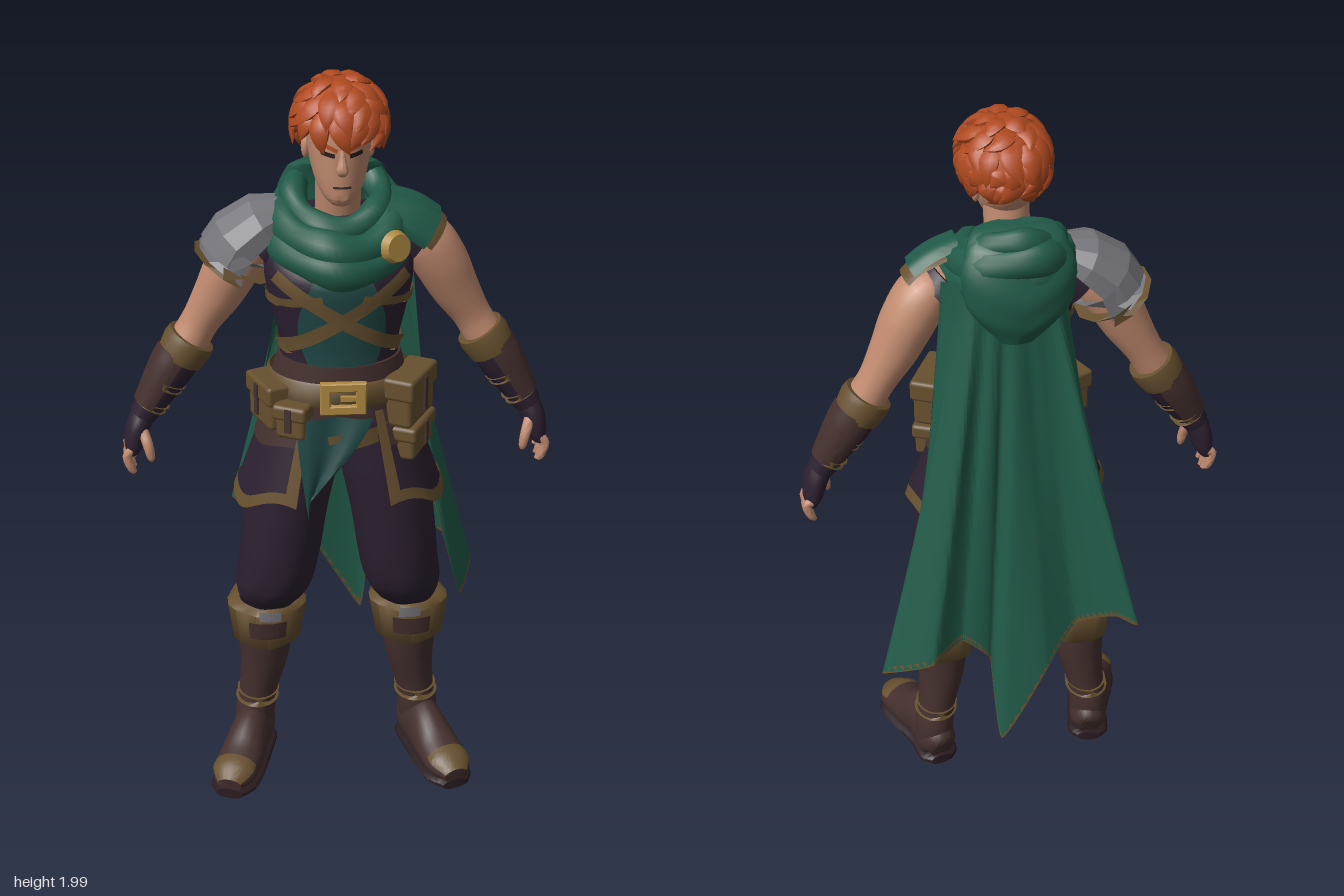
import * as THREE from 'three';
import { toCreasedNormals } from 'three/addons/utils/BufferGeometryUtils.js';
import { RoundedBoxGeometry } from 'three/addons/geometries/RoundedBoxGeometry.js';
const V = (x, y, z) => new THREE.Vector3(x, y, z), { lerp, degToRad: rad } = THREE.MathUtils;
const TAU = Math.PI * 2, { sin, cos, max, min, sqrt, abs } = Math, up = V(0, 1, 0);
const M = {}, colours = {
  hair: 0xb04a20, skin: 0xc08a6e, greenCloth: 0x215a48, tealCloth: 0x1f4644, darkCloth: 0x2c2030,
  brownLeather: 0x44302e, tanLeather: 0x67502f, steel: 0x75747a, gold: 0xb08a42, darkLine: 0x2a1c20,
};
for (const [name, color] of Object.entries(colours)) M[name] = Object.assign(new THREE.MeshStandardMaterial({ color, side: THREE.DoubleSide }), { name });
function add(parent, name, mat, geo) {
  const mesh = Object.assign(new THREE.Mesh(geo, mat), { name });
  parent.add(mesh);
  return mesh;
}
// Grid surface from fn(u, v) -> Vector3
function sheet(parent, name, mat, nu, nv, fn, crease = 1) {
  const pts = [], idx = [];
  for (let j = 0; j <= nv; j++) for (let i = 0; i <= nu; i++) pts.push(fn(i / nu, j / nv));
  for (let j = 0; j < nv; j++) for (let i = 0; i < nu; i++) {
    const a = j * (nu + 1) + i, c = a + nu + 1;
    idx.push(a, c, a + 1, a + 1, c, c + 1);
  }
  const geo = new THREE.BufferGeometry().setFromPoints(pts).setIndex(idx);
  return add(parent, name, mat, toCreasedNormals(geo, crease));
}
// Smooth samples along rows of [x, y, z, radiusA, radiusB]
function sample(rows, n, s = 1) {
  const curve = pts => new THREE.CatmullRomCurve3(pts, false, 'catmullrom', 0.5);
  const P = curve(rows.map(r => V(r[0] * s, r[1], r[2]))), R = curve(rows.map(r => V(r[3], r[4], 0)));
  return Array.from({ length: n + 1 }, (_, i) => ({ p: P.getPoint(i / n), t: P.getTangent(i / n), r: R.getPoint(i / n) }));
}
// Elliptical rings along a path; flat keeps them level, arc leaves an open shell
function loft(parent, name, mat, rows, { n = 24, seg = 5, flat, ref = V(0, 0, 1), arc, s = 1, bump, floor = 0, crease } = {}) {
  const [a0, a1] = !arc ? [0, TAU] : (s < 0 ? [180 - arc[1], 180 - arc[0]] : arc).map(rad);
  const k = sample(rows, (rows.length - 1) * seg, s);
  if (!arc) k.unshift({ ...k[0], r: V(0, 0, 0) }), k.push({ ...k[k.length - 1], r: V(0, 0, 0) });
  return sheet(parent, name, mat, n, k.length - 1, (u, v) => {
    const { p, t, r } = k[Math.round(v * (k.length - 1))], T = flat ? V(0, Math.sign(t.y) || 1, 0) : t;
    const W = ref.clone().addScaledVector(T, -ref.dot(T)).normalize(), U = T.clone().cross(W);
    const a = lerp(a0, a1, u), f = bump ? bump(a, v) : 1;
    const q = p.clone().addScaledVector(U, cos(a) * r.x * f).addScaledVector(W, sin(a) * r.y * f);
    return q.setY(max(q.y, floor));
  }, crease);
}
// Front-facing point on a level loft, and flat bands laid on it
function frontOf(rows) {
  const k = sample(rows, 80);
  return (x, y, off) => {
    const c = k.reduce((m, e) => abs(e.p.y - y) < abs(m.p.y - y) ? e : m);
    return V(x, y, c.p.z + off + c.r.y * sqrt(max(0.02, 1 - ((x - c.p.x) / c.r.x) ** 2)));
  };
}
function ribbon(parent, name, mat, on, [x0, y0], [x1, y1], w, off = 0.008) {
  const l = Math.hypot(x1 - x0, y1 - y0), nx = -(y1 - y0) / l * w, ny = (x1 - x0) / l * w;
  sheet(parent, name, mat, 16, 4, (u, v) => on(lerp(x0, x1, u) + nx * (v - 0.5), lerp(y0, y1, u) + ny * (v - 0.5), off));
}
const torsoRows = [[0, 1.06, 0.1, 0.165, 0.12], [0, 1.15, 0.1, 0.172, 0.13], [0, 1.22, 0.105, 0.165, 0.125], [0, 1.3, 0.11, 0.15, 0.117],
  [0, 1.4, 0.11, 0.17, 0.125], [0, 1.5, 0.105, 0.188, 0.135], [0, 1.57, 0.08, 0.175, 0.11], [0, 1.64, 0.06, 0.1, 0.08]];
const headRows = [[0, 1.692, 0.163, 0.026, 0.036], [0, 1.708, 0.153, 0.042, 0.058], [0, 1.74, 0.13, 0.06, 0.084], [0, 1.79, 0.109, 0.073, 0.107],
  [0, 1.85, 0.1, 0.08, 0.116], [0, 1.91, 0.097, 0.078, 0.11], [0, 1.96, 0.095, 0.05, 0.08]];

function buildHead(g) {
  const on = frontOf(headRows);
  loft(g, 'neck', M.skin, [[0, 1.53, 0.05, 0.07, 0.065], [0, 1.62, 0.06, 0.058, 0.058], [0, 1.76, 0.085, 0.058, 0.062]]);
  loft(g, 'head', M.skin, headRows, { flat: true, n: 32 });
  loft(g, 'nose', M.skin, [[0, 1.845, 0.206, 0.007, 0.008], [0, 1.81, 0.214, 0.01, 0.012], [0, 1.787, 0.218, 0.015, 0.014], [0, 1.777, 0.212, 0.01, 0.008]], { n: 12 });
  ribbon(g, 'mouth', M.brownLeather, on, [-0.022, 1.744], [0.022, 1.744], 0.006, 0.004);
  for (const s of [-1, 1]) {
    ribbon(g, 'eye', M.darkLine, on, [s * 0.018, 1.823], [s * 0.05, 1.828], 0.011, 0.004);
    ribbon(g, 'eyebrow', M.hair, on, [s * 0.012, 1.836], [s * 0.057, 1.854], 0.01, 0.006);
    add(g, 'ear', M.skin, new THREE.SphereGeometry(0.028, 12, 10).scale(0.4, 1.1, 0.75)).position.set(s * 0.08, 1.805, 0.07);
  }
  // Scalp shell with a hairline, then layers of locks with lifted tips
  const dir = (a, p, k) => V(0.003 + 0.107 * k * sin(p) * cos(a), 1.873 + 0.107 * k * cos(p), 0.095 + 0.13 * k * sin(p) * sin(a));
  const limit = a => rad(98 - 25 * sin(a));
  sheet(g, 'hairCap', M.hair, 36, 14, (u, v) => dir(u * TAU, limit(u * TAU) * v, 1.02), 2);
  let seed = 11;
  const rnd = () => (seed = (seed * 16807) % 2147483647) / 2147483647;
  [[8, 5], [28, 9], [47, 12], [64, 14], [82, 15], [100, 14]].forEach(([deg, count], ring) => {
    for (let i = 0; i < count; i++) {
      const a = (i + ring * 0.5 + rnd() * 0.5) / count * TAU, p = rad(deg - 6 + rnd() * 12), sway = 0.2 + (rnd() - 0.5) * 1.1;
      const len = (0.55 + rnd() * 0.35) * (deg > 75 ? 0.65 : 1), lift = 0.04 + rnd() * 0.13 * min(1, deg / 45);
      if (p > limit(a) - 0.06) continue;
      const rows = [[0, 0.98, 0.018, 0.008], [0.35, 1.03, 0.027, 0.012], [0.7, 1.04 + lift * 0.4, 0.018, 0.009], [1, 1.04 + lift, 0.001, 0.001]]
        .map(([t, k, ra, rb]) => [...dir(a + sway * t * t, p + len * t, k), ra, rb]);
      loft(g, 'hairLock', M.hair, rows, { n: 7, seg: 3, ref: dir(a, p, 1).sub(V(0, 1.873, 0.095)).normalize() });
    }
  });
}

function buildTorso(g) {
  const on = frontOf(torsoRows);
  loft(g, 'vest', M.darkCloth, torsoRows, { flat: true, n: 40 });
  sheet(g, 'chestPanel', M.tealCloth, 14, 20, (u, v) => on((u - 0.5) * 2 * (0.08 + 0.03 * cos((lerp(1.2, 1.56, v) - 1.38) * 14)), lerp(1.2, 1.56, v), 0.005));
  for (const s of [-1, 1]) {
    ribbon(g, 'chestStrap', M.tanLeather, on, [s * -0.165, 1.51], [s * 0.155, 1.31], 0.036, 0.01 + s * 0.002);
    ribbon(g, 'chestStrapTop', M.tanLeather, on, [s * 0.05, 1.465], [s * 0.165, 1.44], 0.022);
  }
  for (const [y, r] of [[1.3, 0.157], [1.43, 0.185]]) loft(g, 'backStrap', M.tanLeather, [[0, y, 0.11, r, 0.138], [0, y + 0.025, 0.11, r + 0.002, 0.14]], { flat: true, arc: [150, 390] });
  // Waist: sash, belt, slanting second belt, buckle
  loft(g, 'sash', M.brownLeather, [[0, 1.13, 0.1, 0.184, 0.143], [0, 1.2, 0.103, 0.178, 0.138], [0, 1.28, 0.11, 0.157, 0.126]], { flat: true, n: 36 });
  loft(g, 'belt', M.tanLeather, [[0, 1.175, 0.103, 0.187, 0.15], [0, 1.18, 0.103, 0.191, 0.154], [0, 1.235, 0.105, 0.184, 0.148], [0, 1.24, 0.105, 0.178, 0.143]], { flat: true, n: 36, seg: 1, arc: [-30, 210] });
  sheet(g, 'lowBelt', M.tanLeather, 48, 2, (u, v) => {
    const a = rad(lerp(-30, 210, u));
    return V(0.195 * cos(a), 1.135 - 0.03 * sin(a) + 0.025 * cos(a) - v * 0.045, 0.103 + 0.158 * sin(a));
  });
  const box = (x, y) => [[-x, -y], [x, -y], [x, y], [-x, y]].map(p => new THREE.Vector2(...p));
  const frame = new THREE.Shape(box(0.055, 0.04));
  frame.holes.push(new THREE.Path(box(0.035, 0.022).reverse()));
  add(g, 'buckle', M.gold, new THREE.ExtrudeGeometry(frame, { depth: 0.014, bevelSize: 0.003, bevelThickness: 0.003, bevelSegments: 1 })).position.set(0, 1.208, 0.252);
  add(g, 'bucklePin', M.gold, new THREE.BoxGeometry(0.045, 0.012, 0.012)).position.set(0.015, 1.208, 0.262);
  // Pouches with flaps: [x, y, z, turn, thickness, height, width]
  for (const [x, y, z, turn, t, h, w] of [[0.178, 1.175, 0.17, -0.5, 0.07, 0.13, 0.16], [0.182, 1.06, 0.165, -0.45, 0.07, 0.09, 0.15],
    [-0.18, 1.16, 0.15, Math.PI + 0.4, 0.06, 0.12, 0.13], [-0.125, 1.14, 0.235, Math.PI + 1.1, 0.05, 0.09, 0.08]]) {
    const pouch = add(g, 'pouch', M.tanLeather, new RoundedBoxGeometry(t, h, w, 2, 0.012));
    add(pouch, 'pouchFlap', M.tanLeather, new RoundedBoxGeometry(t + 0.014, h * 0.45, w + 0.012, 2, 0.01)).position.y = h * 0.3;
    add(pouch, 'pouchStrap', M.brownLeather, new THREE.BoxGeometry(0.006, h * 0.7, 0.018)).position.set(t / 2 + 0.008, 0.01, 0);
    pouch.position.set(x, y, z);
    pouch.rotation.y = turn;
  }
  // Hip skirts with tan hems, and the pointed front cloth
  const a0 = rad(-84), a1 = rad(64);
  for (const s of [-1, 1]) {
    const skirt = (a, v, off) => V(s * (lerp(0.18, 0.272, v) + off) * cos(a), 1.16 - v * (0.27 + 0.08 * max(0, -sin(a)) + 0.025 * sin(a * 5)), 0.108 + (lerp(0.14, 0.18, v) + off) * sin(a));
    sheet(g, 'hipSkirt', M.darkCloth, 28, 8, (u, v) => skirt(lerp(a0, a1, u), v, 0));
    sheet(g, 'hipSkirtTop', M.brownLeather, 28, 4, (u, v) => skirt(lerp(a0, a1, u), v * 0.4, 0.004));
    sheet(g, 'skirtHem', M.tanLeather, 28, 2, (u, v) => skirt(lerp(a0, a1, u), lerp(0.89, 1.01, v), 0.005));
    sheet(g, 'skirtEdge', M.tanLeather, 3, 8, (u, v) => skirt(a1 - u * 0.13, v, 0.005));
  }
  sheet(g, 'frontCloth', M.tealCloth, 8, 12, (u, v) =>
    V(lerp(lerp(-0.12, 0.075, u), -0.09, v ** 1.3), lerp(1.15, 0.87 + 0.06 * u, v), 0.255 + 0.02 * sin(v * 2) + 0.008 * sin(u * 9)));
}

function buildArm(g, s) {
  loft(g, 'upperArm', M.skin, [[0.16, 1.58, 0.045, 0.045, 0.055], [0.218, 1.552, 0.04, 0.068, 0.076], [0.262, 1.487, 0.033, 0.071, 0.077], [0.302, 1.41, 0.025, 0.063, 0.065],
    [0.35, 1.33, 0.018, 0.05, 0.052], [0.385, 1.27, 0.02, 0.051, 0.053], [0.42, 1.21, 0.02, 0.045, 0.05]], { s });
  loft(g, 'armhole', M.darkCloth, [[0.15, 1.57, 0.05, 0.085, 0.085], [0.185, 1.54, 0.045, 0.08, 0.086]], { s });
  loft(g, 'bracer', M.darkCloth, [[0.385, 1.268, 0.02, 0.056, 0.06], [0.43, 1.195, 0.022, 0.055, 0.058], [0.472, 1.13, 0.025, 0.045, 0.047], [0.51, 1.07, 0.027, 0.036, 0.04]], { s });
  loft(g, 'bracerPlate', M.brownLeather, [[0.405, 1.245, 0.02, 0.062, 0.065], [0.435, 1.195, 0.022, 0.06, 0.063], [0.492, 1.1, 0.026, 0.044, 0.047]], { s, arc: [80, 300] });
  loft(g, 'bracerCuff', M.tanLeather, [[0.374, 1.285, 0.02, 0.064, 0.066], [0.385, 1.268, 0.02, 0.068, 0.07], [0.408, 1.23, 0.021, 0.062, 0.066]], { s, seg: 1 });
  for (const t of [0.45, 0.88]) loft(g, 'bracerBand', M.tanLeather, [t, t + 0.11].map(k =>
    [lerp(0.405, 0.49, k), lerp(1.24, 1.095, k), 0.024, lerp(0.066, 0.045, k), lerp(0.069, 0.048, k)]), { s, seg: 1 });
  loft(g, 'glove', M.darkCloth, [[0.505, 1.08, 0.028, 0.032, 0.036], [0.523, 1.04, 0.03, 0.032, 0.047], [0.535, 0.995, 0.03, 0.028, 0.048], [0.542, 0.968, 0.03, 0.018, 0.042]], { s, n: 16 });
  [0.01, 0, 0.006, 0.022].forEach((d, i) => {
    const z = 0.064 - i * 0.023;
    loft(g, 'finger', M.skin, [[0.54, 0.985, z, 0.012, 0.012], [0.555, 0.955 + d, z, 0.0125, 0.012], [0.546, 0.92 + d, z, 0.011, 0.011], [0.537, 0.907 + d, z, 0.006, 0.006]], { s, n: 10, seg: 3 });
  });
  loft(g, 'thumb', M.skin, [[0.513, 1.04, 0.055, 0.015, 0.015], [0.499, 1.005, 0.078, 0.014, 0.014], [0.492, 0.97, 0.082, 0.011, 0.011], [0.49, 0.958, 0.082, 0.005, 0.005]], { s, n: 10, seg: 3 });
}

function buildLeg(g, s) {
  loft(g, 'trouserLeg', M.darkCloth, [[0.085, 1.12, 0.1, 0.09, 0.12], [0.115, 0.98, 0.1, 0.115, 0.128], [0.142, 0.82, 0.1, 0.111, 0.13], [0.16, 0.68, 0.097, 0.107, 0.128], [0.176, 0.59, 0.085, 0.102, 0.118], [0.19, 0.52, 0.055, 0.08, 0.085]],
    { s, flat: true, n: 36, bump: (a, v) => 1 + 0.03 * max(0, v - 0.4) * sin(a * 7 + v * 12) + 0.035 * max(0, v - 0.6) * sin(v * 60) });
  loft(g, 'bootShaft', M.brownLeather, [[0.195, 0.5, 0.05, 0.075, 0.08], [0.2, 0.4, 0.045, 0.075, 0.08], [0.205, 0.31, 0.037, 0.066, 0.073], [0.222, 0.2, 0.027, 0.054, 0.063], [0.232, 0.13, 0.022, 0.056, 0.066], [0.235, 0.05, 0.02, 0.052, 0.058]], { s, flat: true });
  loft(g, 'bootCuff', M.tanLeather, [[0.198, 0.39, 0.047, 0.076, 0.082], [0.197, 0.4, 0.048, 0.092, 0.1], [0.195, 0.51, 0.05, 0.108, 0.112], [0.194, 0.525, 0.05, 0.09, 0.095]], { s, flat: true, seg: 1, n: 20, bump: a => 1 + 0.04 * sin(a * 5) });
  loft(g, 'cuffPatch', M.brownLeather, [[0.197, 0.435, 0.048, 0.103, 0.109], [0.196, 0.49, 0.05, 0.111, 0.115]], { s, flat: true, arc: [62, 118] });
  loft(g, 'kneePlate', M.steel, [[0.185, 0.5, 0.052, 0.112, 0.118], [0.185, 0.53, 0.055, 0.11, 0.116]], { s, flat: true, arc: [72, 103] });
  const foot = [[0.222, 0.05, -0.035, 0.03, 0.04], [0.228, 0.065, -0.005, 0.053, 0.075], [0.247, 0.078, 0.08, 0.054, 0.084], [0.278, 0.06, 0.17, 0.062, 0.056], [0.302, 0.05, 0.235, 0.06, 0.041], [0.315, 0.042, 0.276, 0.034, 0.023]];
  loft(g, 'foot', M.brownLeather, foot, { s, ref: up, floor: 0.02 });
  loft(g, 'sole', M.darkLine, foot.map(r => [r[0], 0.014, r[2], r[3] + 0.005, 0.015]), { s, ref: up });
  loft(g, 'toeCap', M.tanLeather, [[0.292, 0.054, 0.21, 0.063, 0.05], ...foot.slice(4).map(r => [r[0], r[1], r[2] + 0.003, r[3] + 0.003, r[4] + 0.004])], { s, ref: up, arc: [25, 155] });
  loft(g, 'ankleStrap', M.tanLeather, [[0.226, 0.175, 0.028, 0.061, 0.072], [0.223, 0.2, 0.028, 0.059, 0.07]], { s, flat: true, seg: 1 });
}

function buildShoulders(g) {
  // Faceted steel plates on the right shoulder
  const plate = { arc: [-110, 110], n: 7, seg: 1, crease: 0.2 };
  loft(g, 'pauldron', M.steel, [[-0.13, 1.63, 0.04, 0.045, 0.065], [-0.18, 1.605, 0.04, 0.075, 0.1], [-0.24, 1.555, 0.038, 0.09, 0.112], [-0.262, 1.515, 0.036, 0.094, 0.112]], plate);
  loft(g, 'pauldronLowerPlate', M.steel, [[-0.228, 1.545, 0.037, 0.092, 0.114], [-0.268, 1.49, 0.035, 0.1, 0.118]], plate);
  loft(g, 'pauldronTrim', M.tanLeather, [[-0.258, 1.505, 0.035, 0.105, 0.124], [-0.273, 1.482, 0.035, 0.107, 0.126]], plate);
  // Leather cap and draped cloth on the left shoulder
  loft(g, 'shoulderCap', M.tanLeather, [[0.13, 1.61, 0.05, 0.06, 0.07], [0.19, 1.572, 0.05, 0.08, 0.086], [0.22, 1.545, 0.048, 0.082, 0.086]], { arc: [95, 215] });
  loft(g, 'shoulderDrape', M.greenCloth, [[0.1, 1.63, 0.06, 0.07, 0.09], [0.16, 1.595, 0.058, 0.085, 0.093], [0.207, 1.56, 0.056, 0.088, 0.092]], { arc: [88, 215], bump: a => 1 + 0.03 * sin(a * 8) });
}

function buildCape(g) {
  // Cowl of closed rolls, lower at the front than at the back
  for (const [z, yBack, yFront, rx, rz, tube] of [[0.042, 1.715, 1.615, 0.11, 0.112, 0.033], [0.058, 1.675, 1.575, 0.135, 0.15, 0.041], [0.064, 1.63, 1.53, 0.146, 0.155, 0.041]])
    sheet(g, 'cowlRoll', M.greenCloth, 64, 12, (u, v) => {
      const a = u * TAU, b = -v * TAU, t = tube * (1 + 0.12 * sin(5 * a + rx * 40));
      return V((rx + t * cos(b)) * cos(a), lerp(yBack, yFront, (1 + sin(a)) / 2) + 0.006 * sin(3 * a + rz * 50) + t * 1.2 * sin(b), z + (rz + t * cos(b)) * sin(a));
    });
  loft(g, 'hood', M.greenCloth, [[0, 1.74, -0.01, 0.1, 0.04], [0, 1.7, -0.045, 0.132, 0.058], [0, 1.61, -0.068, 0.145, 0.068], [0, 1.53, -0.075, 0.115, 0.062], [0.01, 1.465, -0.078, 0.05, 0.04]],
    { flat: true, n: 36, bump: (a, v) => 1 + 0.02 * sin(v * 24 + 5 * abs(cos(a))) });
  // Cape hangs from the shoulders to a ragged hem
  const hem = new THREE.CatmullRomCurve3([[-0.25, 0.72, -0.12], [-0.28, 0.65, -0.28], [-0.23, 0.66, -0.26], [-0.13, 0.61, -0.19], [-0.04, 0.5, -0.25], [0.09, 0.28, -0.25], [0.11, 0.53, -0.2],
    [0.18, 0.6, -0.195], [0.27, 0.57, -0.235], [0.4, 0.5, -0.17], [0.36, 0.42, -0.07], [0.28, 0.72, -0.06]].map(p => V(...p)), false, 'catmullrom', 0.2);
  const cape = (u, v) => {
    const b = hem.getPoint(u), k = v ** 1.15;
    return V(lerp(lerp(-0.12, 0.19, u), b.x, k), lerp(1.62, b.y, v), lerp(-0.035 - 0.05 * sin(u * Math.PI), b.z, v) + 0.008 * sin(u * 40) * sin(min(1, v * 1.5) * 2.2));
  };
  sheet(g, 'cape', M.greenCloth, 99, 28, cape);
  sheet(g, 'capeHem', M.tanLeather, 99, 1, (u, v) => cape(u, lerp(0.985, 1.003, v)));
  const clasp = add(g, 'clasp', M.gold, new THREE.CylinderGeometry(0.034, 0.042, 0.022, 24));
  clasp.position.set(0.135, 1.583, 0.2);
  clasp.rotation.set(Math.PI / 2 - 0.15, 0, -0.55);
}

export function createModel() {
  const root = Object.assign(new THREE.Group(), { name: 'cloakedAdventurer' });
  for (const [name, build, s] of [['headAndHair', buildHead], ['torso', buildTorso], ['leftArm', buildArm, 1], ['rightArm', buildArm, -1],
    ['leftLeg', buildLeg, 1], ['rightLeg', buildLeg, -1], ['shoulders', buildShoulders], ['capeAndCowl', buildCape]]) {
    const group = Object.assign(new THREE.Group(), { name });
    build(group, s);
    root.add(group);
  }
  return root;
}
